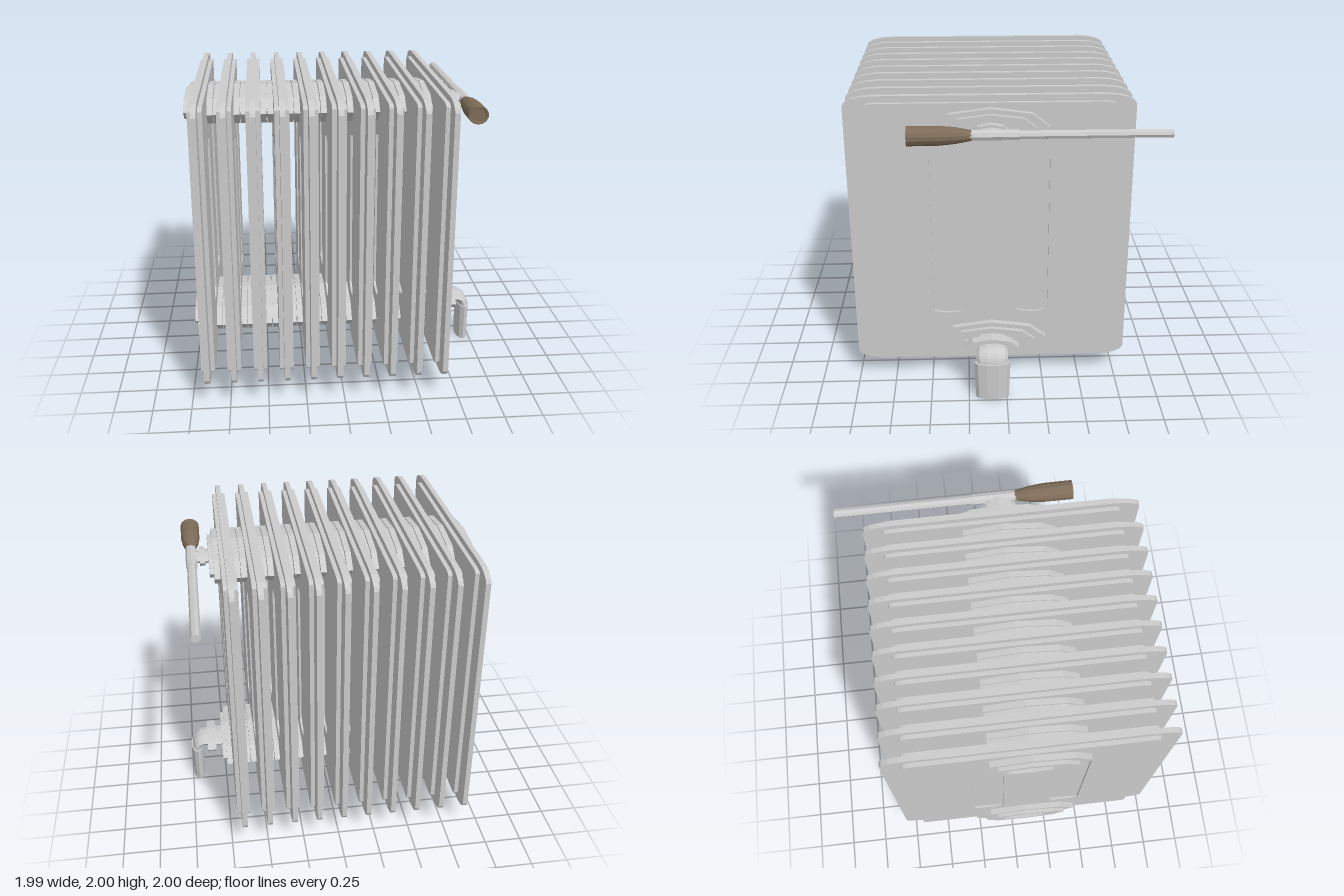
import * as THREE from 'three';

const grey = new THREE.MeshStandardMaterial({ color: 0xcccccc, flatShading: true });
const brown = new THREE.MeshStandardMaterial({ color: 0x7d6c58, flatShading: true });

const FINS = 10, FIRST = -0.892, STEP = 0.172; // fin spacing along x
const MID = 0.095;                             // z of the pipe axis
const TOP = 1.815, BOTTOM = 0.32;              // heights of the two manifolds

function add(parent, name, geometry, x = 0, y = 0, z = 0, material = grey) {
  const mesh = new THREE.Mesh(geometry, material);
  mesh.name = name;
  mesh.position.set(x, y, z);
  parent.add(mesh);
  return mesh;
}

// Rectangle in the z-y plane with elliptical corners
function plate(z0, z1, y0, y1, rz, ry, Type = THREE.Shape) {
  const points = [];
  const corners = [[z1 - rz, y1 - ry], [z0 + rz, y1 - ry], [z0 + rz, y0 + ry], [z1 - rz, y0 + ry]];
  corners.forEach(([z, y], i) => {
    for (let k = 0; k <= 4; k++) {
      const a = (i + k / 4) * Math.PI / 2;
      points.push(new THREE.Vector2(z + rz * Math.cos(a), y + ry * Math.sin(a)));
    }
  });
  return new Type(points);
}

// Stretched octagon in the z-y plane
function octagon(rz, ry, Type = THREE.Shape) {
  const points = [];
  for (let i = 0; i < 8; i++) {
    const a = i * Math.PI / 4;
    points.push(new THREE.Vector2(rz * Math.cos(a), ry * Math.sin(a)));
  }
  return new Type(points);
}

// Extrude a z-y shape along x, centred on x = 0
function slab(shape, width) {
  return new THREE.ExtrudeGeometry(shape, { depth: width, bevelEnabled: false, curveSegments: 4 })
    .translate(0, 0, -width / 2)
    .rotateY(-Math.PI / 2);
}

// Stretched cylinder lying along x
function barrel(ry, rz, length, sides) {
  return new THREE.CylinderGeometry(1, 1, length, sides).rotateZ(Math.PI / 2).scale(1, ry, rz);
}

export function createModel() {
  const model = new THREE.Group();
  model.name = 'oilRadiator';

  // Fin: wide thin flange, thicker body and outer skins with sunken slots
  const flange = slab(plate(-0.81, 1, 0.135, 2, 0.19, 0.065), 0.034);
  const body = [-0.68, 0.87, 0.18, 1.96, 0.06, 0.02];
  const core = slab(plate(...body), 0.06);
  const skinShape = plate(...body);
  for (const z of [0.27, -0.28]) {
    skinShape.holes.push(plate(z, z + 0.21, 0.5, 1.64, 0.104, 0.03, THREE.Path));
  }
  const skin = slab(skinShape, 0.015);
  const hub = barrel(0.118, 0.365, 0.167, 8);

  for (let i = 0; i < FINS; i++) {
    const fin = new THREE.Group();
    fin.name = 'fin';
    fin.position.x = FIRST + i * STEP;
    add(fin, 'finFlange', flange);
    add(fin, 'finCore', core);
    for (const side of [-1, 1]) add(fin, 'finSkin', skin, side * 0.0375);
    for (const y of [TOP, BOTTOM]) add(fin, 'manifoldHub', hub, 0, y, MID);
    model.add(fin);
  }

  // Collars running through the hubs and showing as open rims at both ends
  const collarShape = octagon(0.29, 0.088);
  collarShape.holes.push(octagon(0.18, 0.053, THREE.Path));
  const collar = slab(collarShape, 1.767);
  for (const y of [TOP, BOTTOM]) add(model, 'manifoldCollar', collar, -0.1165, y, MID);

  // Upper valve with a long lever and a wooden grip
  const valve = new THREE.Group();
  valve.name = 'valve';
  model.add(valve);
  add(valve, 'valveStem', barrel(0.032, 0.09, 0.09, 8), 0.765, TOP, MID);
  add(valve, 'valveNut', barrel(0.047, 0.115, 0.035, 8), 0.808, TOP, MID);
  add(valve, 'valveNeck', barrel(0.03, 0.085, 0.05, 8), 0.845, TOP, MID);
  const rod = (r, length) =>
    new THREE.CylinderGeometry(r, r, length, 8).rotateX(Math.PI / 2).scale(1.15, 1, 1);
  add(valve, 'lever', rod(0.027, 1.25), 0.88, TOP, -0.375);
  add(valve, 'leverSleeve', rod(0.033, 0.3), 0.88, TOP, 0.075);
  const gripProfile = [[0, 0.21], [0.032, 0.21], [0.05, 0.31], [0.059, 0.41], [0.06, 0.6], [0.05, 0.6], [0.045, 0.59], [0, 0.59]]
    .map(([r, z]) => new THREE.Vector2(r, z));
  const grip = new THREE.LatheGeometry(gripProfile, 14).rotateX(Math.PI / 2).scale(1.1, 1, 1);
  add(valve, 'grip', grip, 0.88, TOP, 0, brown);

  // Lower outlet: stub, nut and elbow leading down to the floor
  const outlet = new THREE.Group();
  outlet.name = 'outlet';
  model.add(outlet);
  add(outlet, 'outletStub', barrel(0.042, 0.115, 0.1, 8), 0.775, BOTTOM, MID);
  add(outlet, 'outletNut', barrel(0.067, 0.18, 0.062, 8), 0.842, BOTTOM, MID);
  const bend = new THREE.CurvePath();
  const v = (x, y) => new THREE.Vector3(x, y, 0);
  bend.add(new THREE.LineCurve3(v(0.86, BOTTOM), v(0.89, BOTTOM)));
  bend.add(new THREE.QuadraticBezierCurve3(v(0.89, BOTTOM), v(0.95, BOTTOM), v(0.95, 0.25)));
  const elbow = new THREE.TubeGeometry(bend, 10, 0.038, 10).scale(1, 1, 2.7);
  add(outlet, 'elbow', elbow, 0, 0, MID);
  const foot = new THREE.CylinderGeometry(0.046, 0.042, 0.265, 10).scale(1, 1, 2.6);
  add(outlet, 'downPipe', foot, 0.951, 0.1325, MID);

  return model;
}
